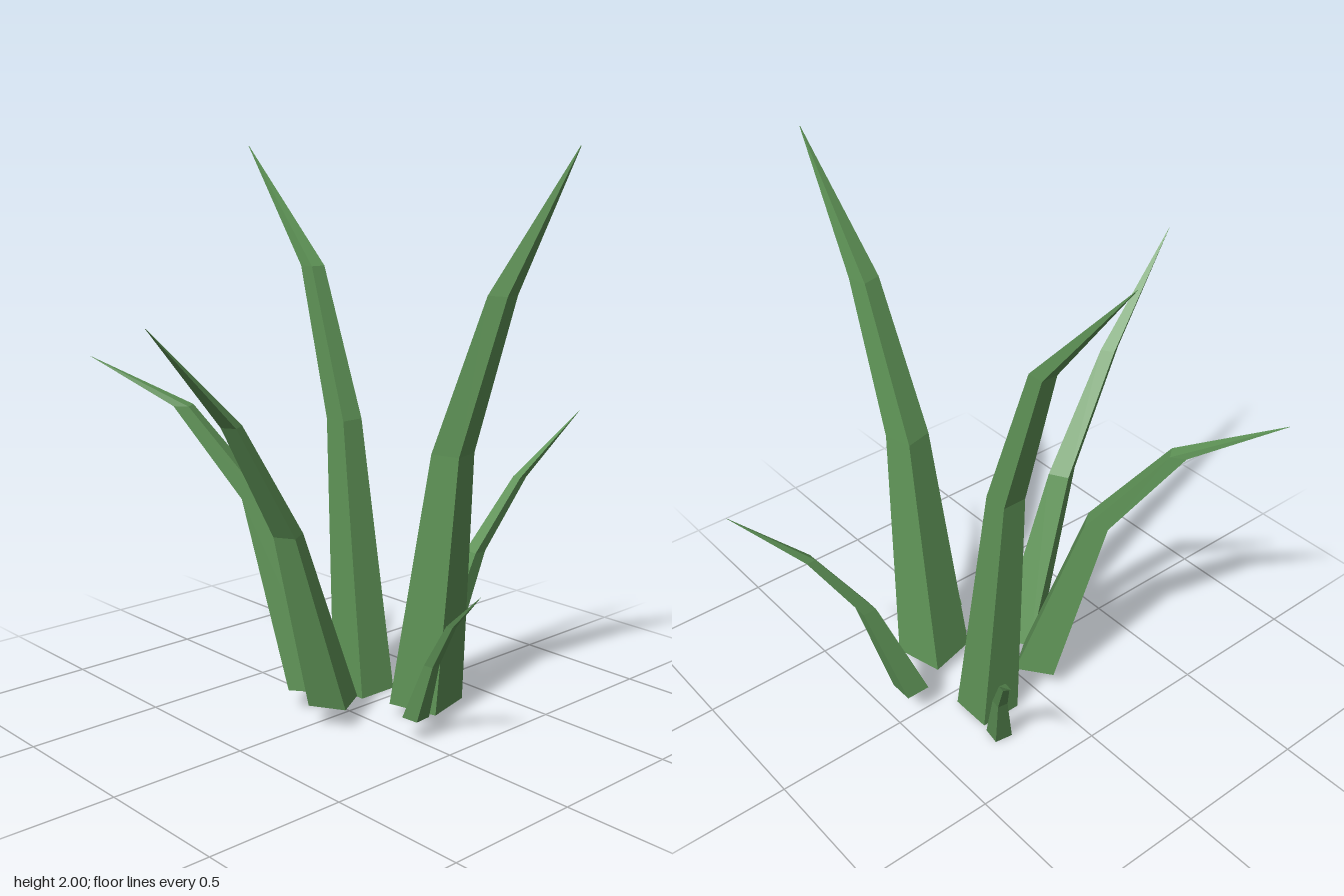
import * as THREE from 'three';

// Each blade: corner angle (degrees), base radius, then centres of base, two bends and the tip.
const BLADES = [
  { name: 'tallLeftBlade', angle: 45, radius: 0.113,
    path: [[-0.13, 0, -0.19], [-0.237, 1.02, -0.19], [-0.407, 1.57, -0.188], [-0.775, 2, -0.188]] },
  { name: 'tallRightBlade', angle: 31, radius: 0.134,
    path: [[0.205, 0.05, -0.185], [0.32, 0.98, -0.183], [0.517, 1.53, -0.195], [0.778, 2, -0.238]] },
  { name: 'backBlade', angle: 45, radius: 0.065,
    path: [[0.03, 0.115, -0.422], [0.1, 0.515, -0.548], [0.162, 0.785, -0.72], [0.25, 1.02, -0.953]] },
  { name: 'smallLeftBlade', angle: 54, radius: 0.048,
    path: [[-0.272, 0, -0.25], [-0.348, 0.25, -0.308], [-0.45, 0.438, -0.373], [-0.6, 0.6, -0.47]] },
  { name: 'frontLeftBlade', angle: 8, radius: 0.104,
    path: [[-0.132, 0.08, 0.06], [-0.295, 0.775, 0.182], [-0.5, 1.1, 0.342], [-0.78, 1.265, 0.543]] },
  { name: 'frontBlade', angle: 15, radius: 0.096,
    path: [[0.033, 0.08, 0.108], [0.058, 0.735, 0.327], [0.104, 1.145, 0.59], [0.186, 1.49, 0.952]] },
  { name: 'smallRightBlade', angle: 40, radius: 0.046,
    path: [[0.331, 0.08, -0.006], [0.422, 0.3, 0.012], [0.533, 0.472, 0.037], [0.688, 0.617, 0.071]] },
];

const TAPER = [1, 0.565, 0.38, 0.01];

// Level square sections joined into a tapering, bending spike with a closed base
function bladeGeometry({ angle, radius, path }) {
  const rings = path.map(([x, y, z], i) =>
    [0, 1, 2, 3].map((k) => {
      const a = THREE.MathUtils.degToRad(angle + 90 * k);
      const r = radius * TAPER[i];
      return [x + r * Math.cos(a), y, z + r * Math.sin(a)];
    }));
  const positions = [];
  const quad = (a, b, c, d) => positions.push(...a, ...b, ...c, ...a, ...c, ...d);
  quad(...rings[0]);
  for (let i = 0; i < rings.length - 1; i++) {
    for (let k = 0; k < 4; k++) {
      const n = (k + 1) % 4;
      quad(rings[i][k], rings[i + 1][k], rings[i + 1][n], rings[i][n]);
    }
  }
  quad(...[...rings[rings.length - 1]].reverse());
  const geometry = new THREE.BufferGeometry();
  geometry.setAttribute('position', new THREE.Float32BufferAttribute(positions, 3));
  geometry.computeVertexNormals();
  return geometry;
}

export function createModel() {
  const group = new THREE.Group();
  group.name = 'grassTuft';
  const material = new THREE.MeshStandardMaterial({ color: 0x5f9457, flatShading: true });
  for (const blade of BLADES) {
    const mesh = new THREE.Mesh(bladeGeometry(blade), material);
    mesh.name = blade.name;
    group.add(mesh);
  }
  return group;
}
